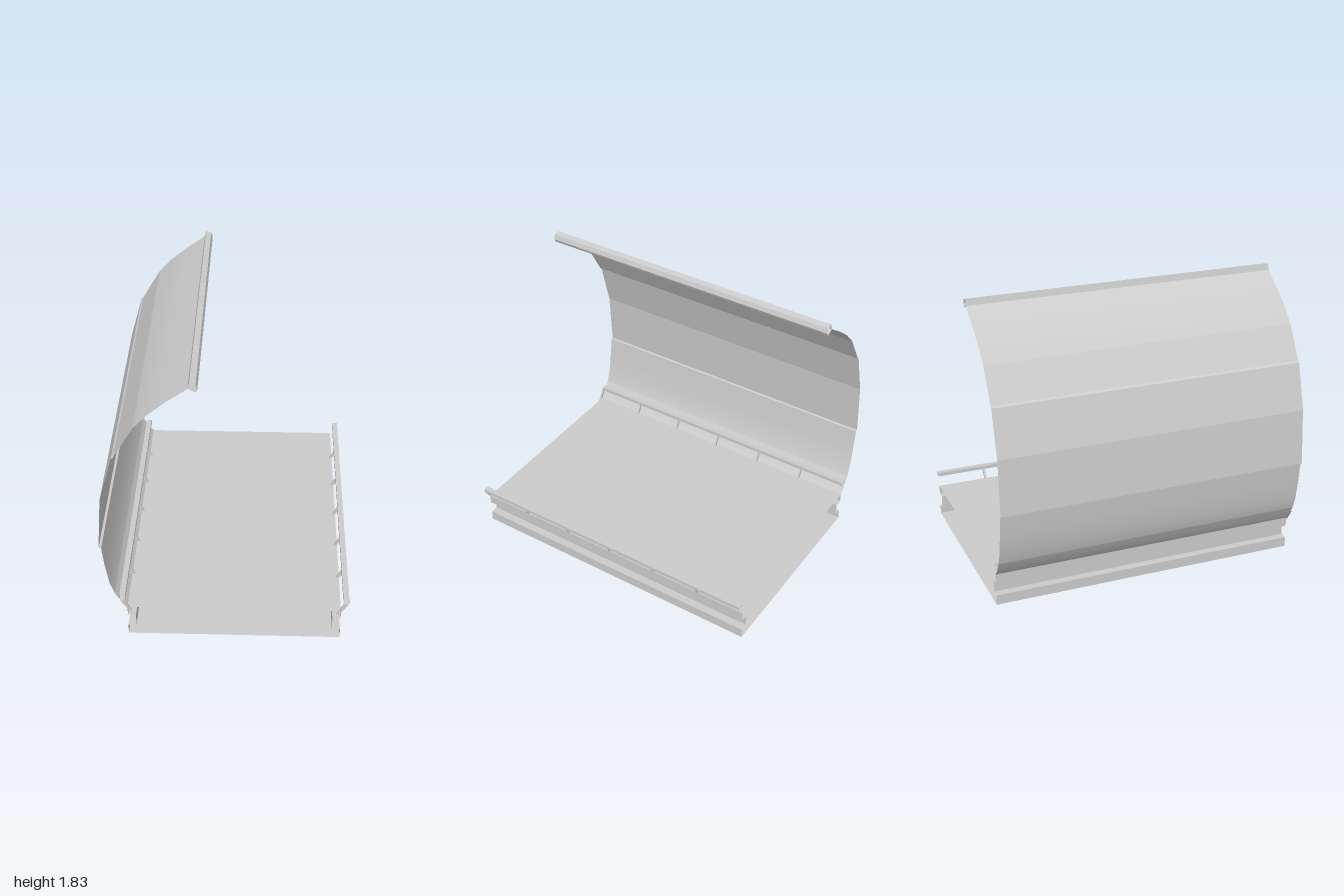
import * as THREE from 'three';

const BACK = -1, FRONT = 0.986, CENTRE = 0.053;
const material = new THREE.MeshStandardMaterial({ color: 0xcccccc, side: THREE.DoubleSide });

// Open sheet: a profile in x, y swept along z, with smooth or sharp folds
function sheet(name, points, smooth = false) {
  const position = [], index = [];
  for (const [x, y] of points) position.push(x, y, BACK, x, y, FRONT);
  for (let i = 0; i < points.length - 1; i++) {
    const a = i * 2;
    index.push(a, a + 2, a + 1, a + 1, a + 2, a + 3);
  }
  let geometry = new THREE.BufferGeometry();
  geometry.setAttribute('position', new THREE.Float32BufferAttribute(position, 3));
  geometry.setIndex(index);
  if (!smooth) geometry = geometry.toNonIndexed();
  geometry.computeVertexNormals();
  const mesh = new THREE.Mesh(geometry, material);
  mesh.name = name;
  return mesh;
}

// Points given as distance from the corridor centre, placed on one side
const onSide = (points, side) => points.map(([d, y]) => [CENTRE + side * d, y]);

export function createModel() {
  const group = new THREE.Group();

  // Hollow floor deck, open at both ends, with a groove along each side
  const edge = [[0.655, 0], [0.655, 0.065], [0.605, 0.065], [0.605, 0.15], [0.655, 0.15], [0.655, 0.21]];
  const right = onSide(edge, 1);
  const left = onSide(edge, -1).reverse();
  group.add(sheet('floorDeck', [...right, ...left, right[0]]));

  // Handrails and slanted struts on both sides
  const rail = [[0.667, 0.275], [0.702, 0.275], [0.702, 0.3], [0.667, 0.3], [0.667, 0.275]];
  const strut = [[0.628, 0.195], [0.645, 0.195], [0.697, 0.275], [0.672, 0.275]];
  for (const side of [1, -1]) {
    const label = side > 0 ? 'left' : 'right';
    group.add(sheet(label + 'Rail', onSide(rail, side)));
    const shape = new THREE.Shape(onSide(strut, side).map(([x, y]) => new THREE.Vector2(x, y)));
    const geometry = new THREE.ExtrudeGeometry(shape, { depth: 0.014, bevelEnabled: false });
    for (let i = 0; i < 6; i++) {
      const mesh = new THREE.Mesh(geometry, material);
      mesh.name = label + 'Strut';
      mesh.position.z = 0.986 - i * 0.333;
      group.add(mesh);
    }
  }

  // Curved wall in panels that step slightly at the joints
  group.add(
    sheet('wallFoot', [[-0.602, 0.21], [-0.635, 0.25], [-0.675, 0.32]], true),
    sheet('lowerWallPanel', [[-0.675, 0.32], [-0.702, 0.395], [-0.725, 0.53], [-0.74, 0.665]], true),
    sheet('lowerJoint', [[-0.74, 0.665], [-0.755, 0.668]]),
    sheet('middleWallPanels', [[-0.755, 0.668], [-0.73, 1.02], [-0.65, 1.31]]),
    sheet('middleJoint', [[-0.65, 1.31], [-0.637, 1.32]]),
    sheet('upperWallPanel', [[-0.637, 1.32], [-0.525, 1.51]]),
    sheet('upperJoint', [[-0.525, 1.51], [-0.515, 1.525]]),
    sheet('roofPanel', [[-0.515, 1.525], [-0.43, 1.615], [-0.325, 1.7], [-0.205, 1.785]], true),
  );

  // Hollow lip along the top edge
  group.add(sheet('topLip', [
    [-0.205, 1.785], [-0.195, 1.825], [-0.16, 1.815], [-0.15, 1.785], [-0.16, 1.765], [-0.205, 1.785],
  ]));

  return group;
}
